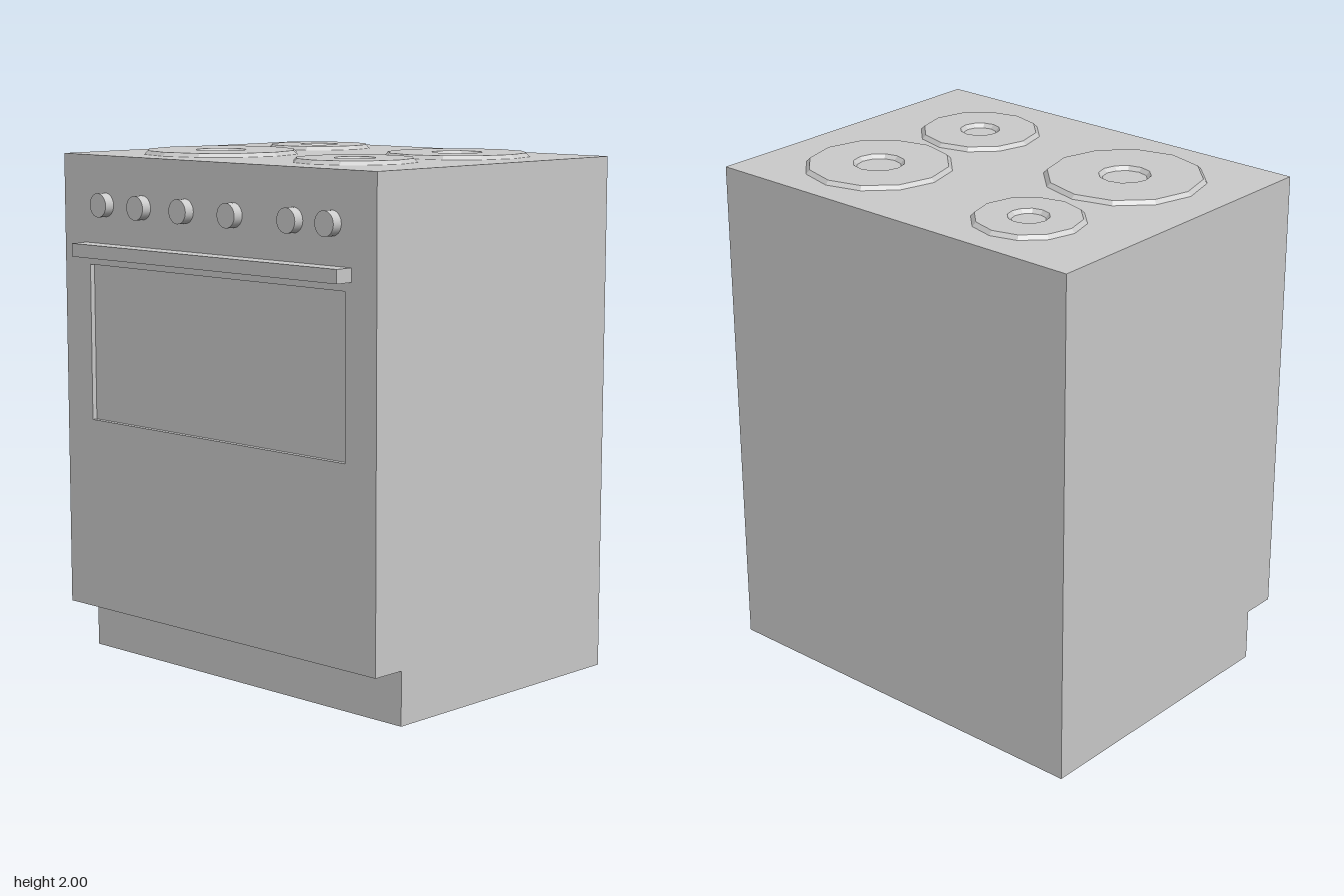
import * as THREE from 'three';

const TOP = 1.985, FRONT = 0.606, BACK = -0.68, HALF = 0.825;
const TOE_Y = 0.205, TOE_Z = 0.47, RECESS = 0.02;

const material = new THREE.MeshStandardMaterial({ color: 0xcccccc });
const flat = new THREE.MeshStandardMaterial({ color: 0xcccccc, flatShading: true });

const shapeOf = (points) => new THREE.Shape(points.map(([x, y]) => new THREE.Vector2(x, y)));
const rect = (x0, y0, x1, y1) => [[x0, y0], [x1, y0], [x1, y1], [x0, y1]];

export function createModel() {
  const group = new THREE.Group();
  const add = (name, geometry, x, y, z, mat = material) => {
    const mesh = new THREE.Mesh(geometry, mat);
    mesh.name = name;
    mesh.position.set(x, y, z);
    group.add(mesh);
    return mesh;
  };

  // Cabinet: side profile with the toe kick, extruded across the width
  const f = FRONT - RECESS;
  const profile = shapeOf([
    [-BACK, 0], [-BACK, TOP], [-f, TOP], [-f, TOE_Y], [-TOE_Z, TOE_Y], [-TOE_Z, 0],
  ]);
  const cabinet = new THREE.ExtrudeGeometry(profile, { depth: 2 * HALF, bevelEnabled: false });
  cabinet.rotateY(Math.PI / 2);
  add('cabinet', cabinet, -HALF, 0, 0);

  // Front panel with the recessed oven window
  const panel = shapeOf(rect(-HALF, TOE_Y, HALF, TOP));
  panel.holes.push(shapeOf(rect(-0.68, 0.955, 0.675, 1.563)));
  add('frontPanel', new THREE.ExtrudeGeometry(panel, { depth: RECESS, bevelEnabled: false }), 0, 0, f);

  // Door handle
  add('doorHandle', new THREE.BoxGeometry(1.405, 0.051, 0.68 - FRONT), 0.002, 1.622, (FRONT + 0.68) / 2);

  // Control knobs
  const knob = new THREE.CylinderGeometry(0.046, 0.046, 0.04, 24);
  knob.rotateX(Math.PI / 2);
  for (const x of [-0.585, -0.375, -0.14, 0.118, 0.424, 0.611]) {
    add('knob', knob, x, 1.797, FRONT + 0.02);
  }

  // Twelve-sided ring hotplates: x, z, outer radius, inner radius
  const plates = [
    [-0.375, 0.195, 0.304, 0.098],
    [-0.395, -0.37, 0.209, 0.077],
    [0.4, -0.3, 0.28, 0.098],
    [0.377, 0.24, 0.234, 0.077],
  ];
  const rise = 2 - TOP, slope = 0.014;
  for (const [x, z, outer, inner] of plates) {
    const ring = [[outer, 0], [outer - slope, rise], [inner, rise], [inner - slope, 0]];
    const points = ring.map(([r, y]) => new THREE.Vector2(r, y));
    add('hotplate', new THREE.LatheGeometry(points, 12), x, TOP, z, flat);
  }

  return group;
}
